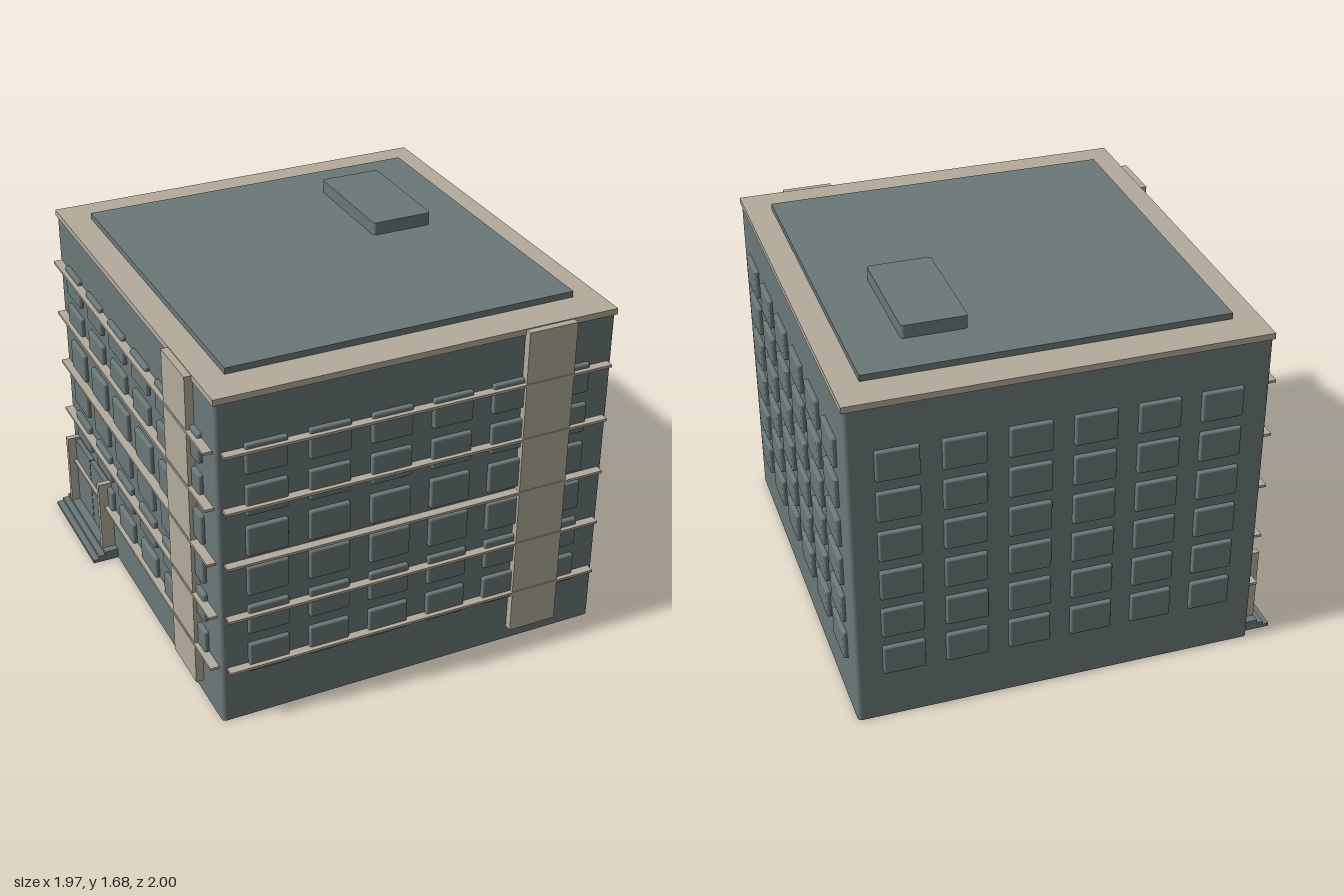
import * as THREE from 'three';
import { RoundedBoxGeometry } from 'three/addons/geometries/RoundedBoxGeometry.js';

export function createModel() {
  const model = new THREE.Group();
  model.name = 'officeBuilding';
  const slate = new THREE.MeshStandardMaterial({ color: 0x6b7878 });
  slate.name = 'slate';
  const stone = new THREE.MeshStandardMaterial({ color: 0xb3ac9b });
  stone.name = 'stone';

  const add = (name, geometry, material, parent = model) => {
    const mesh = new THREE.Mesh(geometry, material);
    mesh.name = name;
    parent.add(mesh);
    return mesh;
  };

  // Box given by its limits along each axis
  const box = (name, material, [x0, x1], [y0, y1], [z0, z1], parent = model) => {
    const mesh = add(name, new THREE.BoxGeometry(x1 - x0, y1 - y0, z1 - z0), material, parent);
    mesh.position.set((x0 + x1) / 2, (y0 + y1) / 2, (z0 + z1) / 2);
    return mesh;
  };

  // Upright block with rounded vertical corners
  const roundedBlock = (name, material, [x0, x1], [y0, y1], [z0, z1], r) => {
    const s = new THREE.Shape();
    const a = -z1, b = -z0;
    s.moveTo(x0 + r, a);
    s.lineTo(x1 - r, a);
    s.absarc(x1 - r, a + r, r, -Math.PI / 2, 0);
    s.lineTo(x1, b - r);
    s.absarc(x1 - r, b - r, r, 0, Math.PI / 2);
    s.lineTo(x0 + r, b);
    s.absarc(x0 + r, b - r, r, Math.PI / 2, Math.PI);
    s.lineTo(x0, a + r);
    s.absarc(x0 + r, a + r, r, Math.PI, Math.PI * 1.5);
    const g = new THREE.ExtrudeGeometry(s, { depth: y1 - y0, bevelEnabled: false, curveSegments: 4 });
    g.rotateX(-Math.PI / 2);
    g.translate(0, y0, 0);
    return add(name, g, material);
  };

  // Main volume and roof
  roundedBlock('walls', slate, [-0.86, 0.96], [0, 1.57], [-0.98, 0.96], 0.018);
  box('cornice', stone, [-0.865, 0.965], [1.56, 1.588], [-0.985, 0.965]);
  box('roofDeck', slate, [-0.745, 0.848], [1.58, 1.616], [-0.82, 0.797]);
  roundedBlock('roofHousing', slate, [0.33, 0.615], [1.61, 1.676], [-0.597, -0.053], 0.015);

  // Raised windows: six by six on every wall
  const frontWindow = new RoundedBoxGeometry(0.185, 0.142, 0.04, 2, 0.009);
  const sideWindow = new RoundedBoxGeometry(0.04, 0.142, 0.19, 2, 0.009);
  const windows = new THREE.Group();
  windows.name = 'windows';
  model.add(windows);
  for (let row = 0; row < 6; row++) {
    const y = 0.312 + row * 0.196;
    for (let col = 0; col < 6; col++) {
      const x = -0.646 + col * 0.279;
      const z = -0.752 + col * 0.296;
      add('frontWindow', frontWindow, slate, windows).position.set(x, y, 0.96);
      add('backWindow', frontWindow, slate, windows).position.set(x, y, -0.98);
      add('rightWindow', sideWindow, slate, windows).position.set(-0.86, y, z);
      add('leftWindow', sideWindow, slate, windows).position.set(0.96, y, z);
    }
  }

  // Thin horizontal ledges on the front and right walls
  for (let i = 0; i < 5; i++) {
    const y = 0.274 + i * 0.2655;
    box('frontLedge', stone, [-0.835, 0.937], [y - 0.006, y + 0.006], [0.95, 1.0]);
    box('rightLedge', stone, [-0.9, -0.85], [y - 0.006, y + 0.006], [-0.957, 0.935]);
  }

  // Tall stone piers
  box('frontPier', stone, [0.522, 0.752], [0.068, 1.584], [0.95, 0.996]);
  box('rightPier', stone, [-0.896, -0.85], [0.068, 1.584], [0.488, 0.745]);

  // Entrance on the right wall: steps, door posts and two door leaves
  const entrance = new THREE.Group();
  entrance.name = 'entrance';
  model.add(entrance);
  for (let i = 0; i < 3; i++) {
    box('step', slate, [-0.985 + i * 0.03, -0.85], [i * 0.016, (i + 1) * 0.016], [-0.946, -0.376], entrance);
  }
  for (const side of [-1, 1]) {
    const post = -0.661 + side * 0.232;
    box('doorPost', stone, [-0.924, -0.85], [0.048, 0.406], [post - 0.014, post + 0.014], entrance);
    const leaf = -0.661 + side * 0.11;
    box('doorLeaf', slate, [-0.884, -0.85], [0.048, 0.395], [leaf - 0.107, leaf + 0.107], entrance);
  }

  return model;
}
